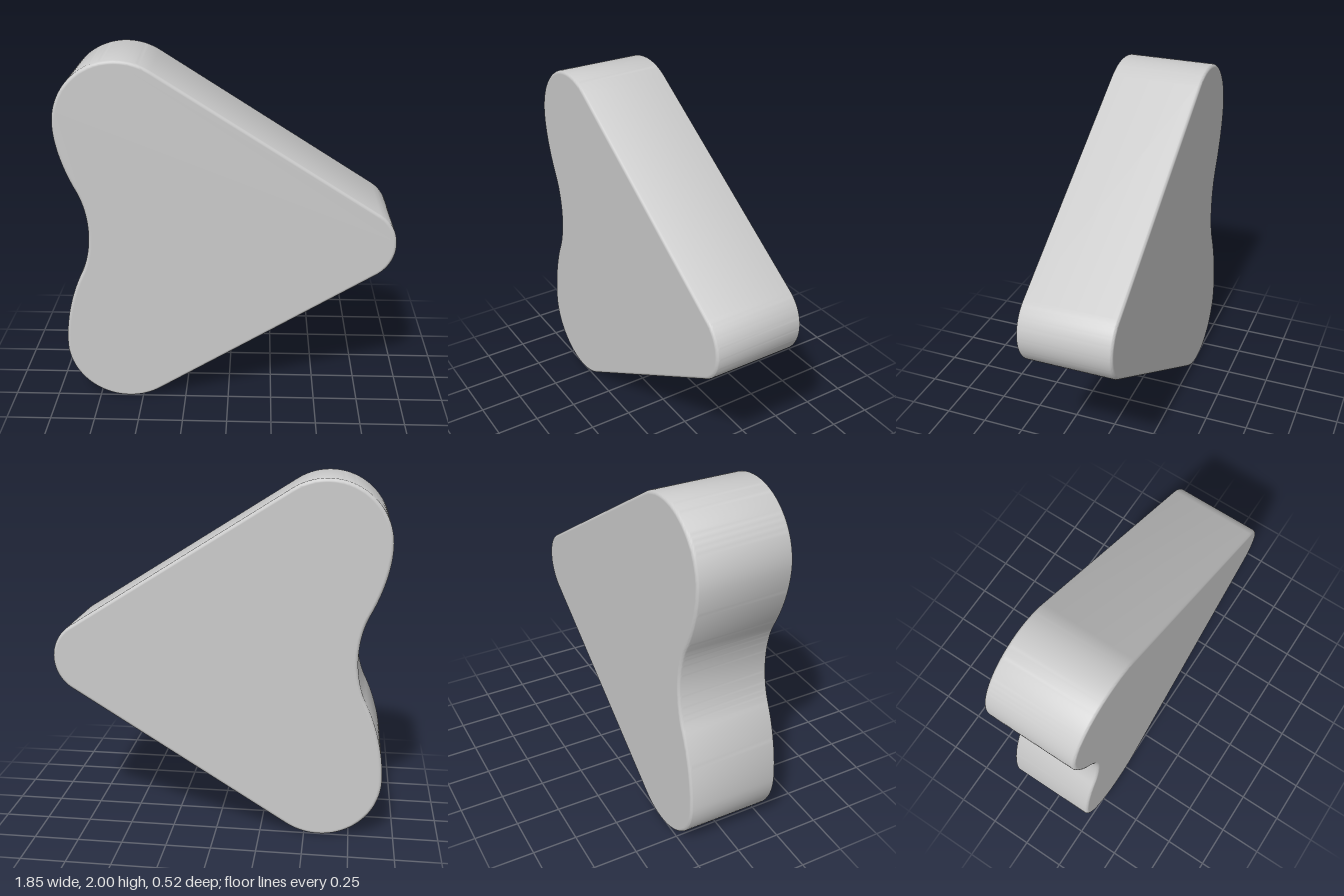
import * as THREE from 'three';
import { toCreasedNormals } from 'three/addons/utils/BufferGeometryUtils.js';

const HALF_DEPTH = 0.262;
const BEVEL = 0.02;

// Rounded arrowhead outline: blunt tip, two round lobes and a notch between them
function arrowOutline() {
  const lobeX = -0.58, lobeR = 0.345;
  const tipX = 0.705, tipY = 0.99, tipR = 0.215;
  const slope = 1.008; // angle of the normal of the straight flanks
  const s = new THREE.Shape();
  s.absarc(tipX, tipY, tipR, -slope, slope, false);
  s.absarc(lobeX, 2 - lobeR, lobeR, slope, Math.PI, false);
  s.bezierCurveTo(-0.925, 1.53, -0.875, 1.385, -0.82, 1.28);
  s.bezierCurveTo(-0.785, 1.21, -0.767, 1.12, -0.767, 1.035);
  s.bezierCurveTo(-0.767, 0.95, -0.785, 0.86, -0.82, 0.79);
  s.bezierCurveTo(-0.88, 0.67, -0.925, 0.5, -0.925, lobeR);
  s.absarc(lobeX, lobeR, lobeR, Math.PI, Math.PI * 2 - slope, false);
  s.closePath();
  return s;
}

export function createModel() {
  const extruded = new THREE.ExtrudeGeometry(arrowOutline(), {
    depth: 2 * (HALF_DEPTH - BEVEL),
    curveSegments: 24,
    bevelEnabled: true,
    bevelThickness: BEVEL,
    bevelSize: BEVEL,
    bevelOffset: -BEVEL,
    bevelSegments: 5,
  });
  extruded.translate(0, 0, -(HALF_DEPTH - BEVEL));
  const geometry = toCreasedNormals(extruded, Math.PI / 5);

  // Keep the two broad faces perfectly flat in shading
  const { position, normal } = geometry.attributes;
  for (let i = 0; i < position.count; i++) {
    const z = position.getZ(i);
    if (Math.abs(z) > HALF_DEPTH - 1e-4) normal.setXYZ(i, 0, 0, Math.sign(z));
  }

  const body = new THREE.Mesh(geometry, new THREE.MeshStandardMaterial({ color: 0xcccccc }));
  body.name = 'roundedArrowhead';

  const group = new THREE.Group();
  group.name = 'arrowhead';
  group.add(body);
  return group;
}
